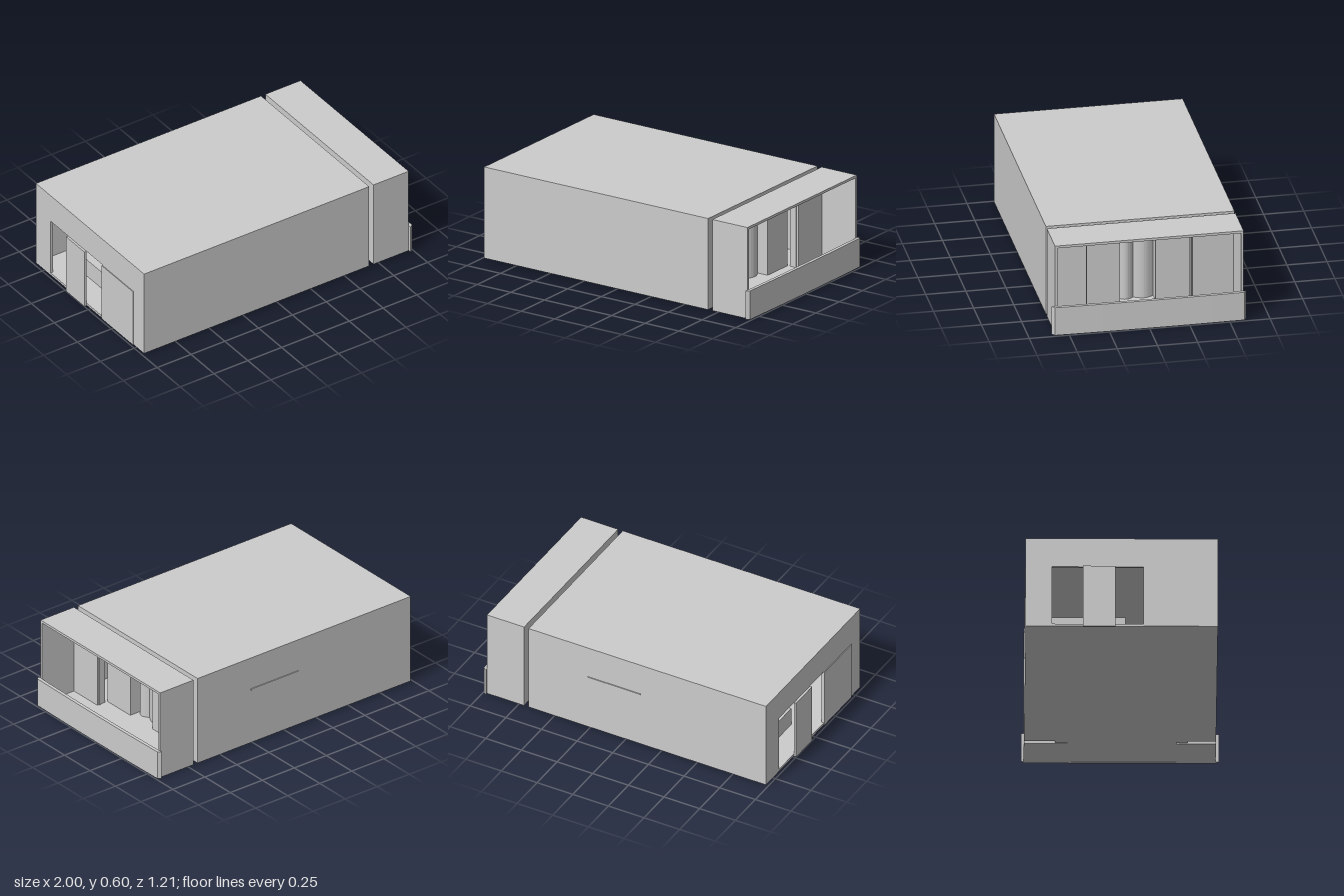
import * as THREE from 'three';

const material = new THREE.MeshStandardMaterial({ color: 0xcccccc, flatShading: true, side: THREE.DoubleSide });

// Box given by its lower and upper limits on each axis
function box(parent, name, [x0, x1], [y0, y1], [z0, z1]) {
  const mesh = new THREE.Mesh(new THREE.BoxGeometry(x1 - x0, y1 - y0, z1 - z0), material);
  mesh.position.set((x0 + x1) / 2, (y0 + y1) / 2, (z0 + z1) / 2);
  mesh.name = name;
  parent.add(mesh);
  return mesh;
}

// Wall across the model with an opening that starts at the floor
function wallWithOpening(parent, name, x, [y0, y1], [z0, z1], [a, b], top) {
  const wall = new THREE.Group();
  wall.name = name;
  box(wall, name + 'BackPier', x, [y0, y1], [z0, a]);
  box(wall, name + 'FrontPier', x, [y0, y1], [b, z1]);
  box(wall, name + 'Lintel', x, [top, y1], [a, b]);
  parent.add(wall);
}

// Vertical solid from a plan outline of [x, z] points
function planSolid(parent, name, points, y0, y1) {
  const shape = new THREE.Shape(points.map(([x, z]) => new THREE.Vector2(x, -z)));
  const geometry = new THREE.ExtrudeGeometry(shape, { depth: y1 - y0, bevelEnabled: false });
  geometry.rotateX(-Math.PI / 2);
  const mesh = new THREE.Mesh(geometry, material);
  mesh.position.y = y0;
  mesh.name = name;
  parent.add(mesh);
}

export function createModel() {
  const model = new THREE.Group();
  model.name = 'roomModule';
  const Z = [-0.59, 0.585], base = 0.004, top = 0.595, t = 0.016;

  // Room shell
  const room = new THREE.Group();
  room.name = 'room';
  model.add(room);
  const X = [-0.985, 0.68];
  box(room, 'roomFloor', X, [base, 0.02], Z);
  box(room, 'roomRoof', X, [top - t, top], Z);
  box(room, 'roomBackWall', X, [0.02, top - t], [Z[0], Z[0] + t]);
  box(room, 'roomFrontWall', X, [0.02, top - t], [Z[1] - t, Z[1]]);
  const inner = [Z[0] + t, Z[1] - t];
  wallWithOpening(room, 'entranceWall', [X[0], X[0] + t], [0.02, top - t], inner, [-0.43, 0.13], 0.405);
  wallWithOpening(room, 'terraceWall', [X[1] - t, X[1]], [0.02, top - t], inner, [-0.32, 0.34], 0.495);

  // Entrance door leaf and fixed side panel
  box(room, 'entranceDoor', [-1, -0.985], [0, 0.405], [-0.24, -0.04]);
  box(room, 'entranceSidePanel', [-0.99, -0.985], [base, 0.4], [0.13, 0.47]);

  // Low platform inside and thin strip on the back wall
  box(room, 'platform', [-0.82, -0.45], [0.02, 0.14], [-0.5, 0.02]);
  box(room, 'backStrip', [-0.105, 0.265], [0.372, 0.38], [-0.596, -0.59]);

  // Stepped connecting collar between room and balcony
  const collar = new THREE.Group();
  collar.name = 'collar';
  model.add(collar);
  wallWithOpening(collar, 'outerCollar', [0.68, 0.697], [base, 0.515], [-0.4, 0.41], [-0.32, 0.34], 0.495);
  wallWithOpening(collar, 'innerCollar', [0.697, 0.712], [base, 0.5], [-0.325, 0.345], [-0.315, 0.335], 0.49);
  box(collar, 'threshold', [0.68, 0.712], [base, 0.02], [-0.32, 0.34]);

  // Terrace doors: two side leaves and a framed centre
  const doors = new THREE.Group();
  doors.name = 'terraceDoors';
  model.add(doors);
  for (const [z0, z1] of [[0.125, 0.34], [-0.32, -0.115]])
    box(doors, 'sideLeaf', [0.63, 0.645], [0.02, 0.495], [z0, z1]);
  for (const [z0, z1] of [[0.115, 0.125], [-0.115, -0.105]])
    box(doors, 'centrePost', [0.57, 0.645], [0.02, 0.495], [z0, z1]);
  box(doors, 'centreHead', [0.57, 0.645], [0.485, 0.495], [-0.105, 0.115]);

  // Two bowed leaves meeting in the middle
  for (const [z0, z1] of [[0.02, 0.115], [-0.105, 0.02]]) {
    const outer = [], innerSide = [];
    for (let i = 0; i <= 8; i++) {
      const z = z0 + (z1 - z0) * i / 8;
      const x = 0.57 + 0.025 * Math.sin(Math.PI * i / 8);
      outer.push([x, z]);
      innerSide.unshift([x - 0.008, z]);
    }
    planSolid(doors, 'bowedLeaf', [...outer, ...innerSide], 0.02, 0.485);
  }

  // Balcony shell
  const balcony = new THREE.Group();
  balcony.name = 'balcony';
  model.add(balcony);
  const B = [0.712, 0.972];
  box(balcony, 'balconyFloor', B, [base, 0.02], Z);
  box(balcony, 'balconyCeiling', B, [top - t, top], Z);
  box(balcony, 'balconyBackSide', B, [0.02, top - t], [Z[0], Z[0] + t]);
  box(balcony, 'balconyFrontSide', B, [0.02, top - t], [Z[1] - t, Z[1]]);
  wallWithOpening(balcony, 'balconyRearWall', [B[0], B[0] + 0.012], [0.02, top - t], inner, [-0.32, 0.34], 0.495);

  // Gently bowed parapet with tapered ends
  const outside = [], inside = [];
  for (let i = 0; i <= 24; i++) {
    const u = i / 12 - 1;
    outside.push([1 - 0.006 * u * u, 0.59 * u]);
    inside.unshift([0.978 - 0.006 * u * u, 0.59 * u]);
  }
  planSolid(balcony, 'parapet', [[0.972, -0.605], ...outside, [0.972, 0.605], ...inside], base, 0.19);
  return model;
}
